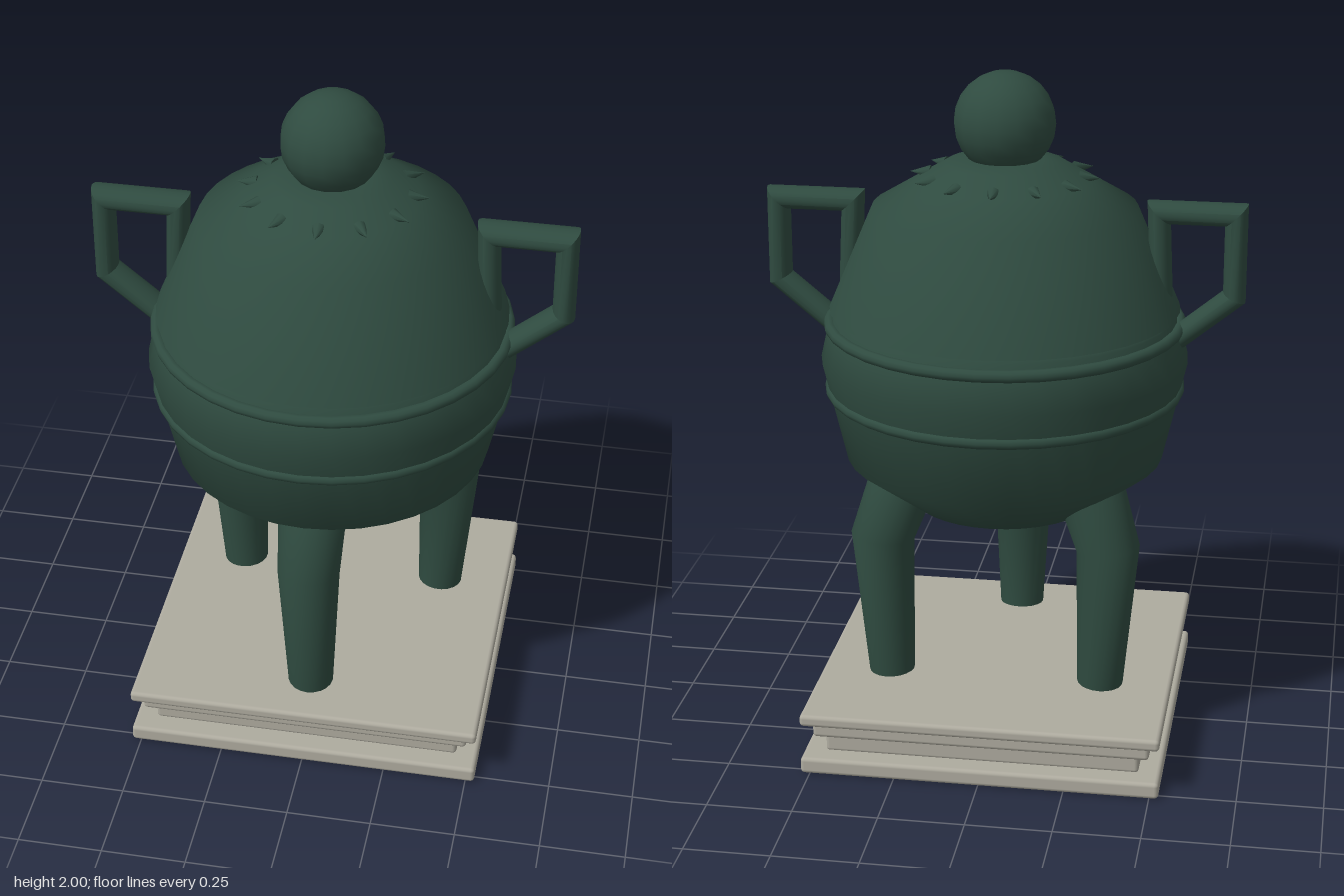
import * as THREE from 'three';
import { toCreasedNormals } from 'three/addons/utils/BufferGeometryUtils.js';
import { RoundedBoxGeometry } from 'three/addons/geometries/RoundedBoxGeometry.js';

const jade = new THREE.MeshStandardMaterial({ color: 0x2f4b40 });
jade.name = 'dark green jade';
const stone = new THREE.MeshStandardMaterial({ color: 0xaeab9f });
stone.name = 'pale stone';

function part(parent, name, geometry, material, x = 0, y = 0, z = 0) {
  const mesh = new THREE.Mesh(geometry, material);
  mesh.name = name;
  mesh.position.set(x, y, z);
  parent.add(mesh);
  return mesh;
}

const lathe = (profile, segments = 36) =>
  new THREE.LatheGeometry(profile.map(([r, y]) => new THREE.Vector2(r, y)), segments);

// Mitred bar along a path in the xy plane; each point is [x, y, in-plane radius, z radius]
function sweep(path, sides = 16) {
  const pos = [], index = [];
  const dir = (a, b) => new THREE.Vector2(b[0] - a[0], b[1] - a[1]).normalize();
  path.forEach((p, k) => {
    const before = k > 0 ? dir(path[k - 1], p) : dir(p, path[1]);
    const after = k < path.length - 1 ? dir(p, path[k + 1]) : before;
    const t = before.clone().add(after).normalize();
    const mitre = 1 / t.dot(before);
    for (let i = 0; i < sides; i++) {
      const a = (i / sides) * Math.PI * 2;
      const d = Math.cos(a) * p[2] * mitre;
      pos.push(p[0] + t.y * d, p[1] - t.x * d, Math.sin(a) * p[3]);
    }
  });
  const last = (path.length - 1) * sides;
  for (let i = 0; i < sides; i++) {
    const j = (i + 1) % sides;
    for (let k = 0; k < last; k += sides) {
      index.push(k + i, k + sides + i, k + j, k + j, k + sides + i, k + sides + j);
    }
    // End caps as fans
    if (i > 0 && i < sides - 1) {
      index.push(0, i, j, last, last + j, last + i);
    }
  }
  const geo = new THREE.BufferGeometry();
  geo.setAttribute('position', new THREE.Float32BufferAttribute(pos, 3));
  geo.setIndex(index);
  return toCreasedNormals(geo, 0.6);
}

export function createModel() {
  const model = new THREE.Group();
  model.name = 'tripodCenser';

  // Stepped square plinth: [half width, bottom, top]
  const plinth = new THREE.Group();
  plinth.name = 'plinth';
  model.add(plinth);
  [[0.527, 0, 0.05], [0.463, 0.045, 0.107], [0.495, 0.105, 0.15], [0.527, 0.152, 0.188]]
    .forEach(([half, low, high], i) => {
      part(plinth, 'plinthStep' + (i + 1),
        new RoundedBoxGeometry(half * 2, high - low, half * 2, 2, 0.012),
        stone, 0, (low + high) / 2, 0);
    });

  // Bowl with a dimpled underside
  part(model, 'bowl', lathe([
    [0, 0.73], [0.07, 0.725], [0.105, 0.69], [0.14, 0.676], [0.28, 0.71], [0.47, 0.852],
    [0.54, 1.153], [0.518, 1.25], [0.5, 1.29], [0.49, 1.312], [0, 1.315],
  ]), jade);

  // Raised bands around the bowl
  for (const y of [1.065, 1.26]) {
    const ring = new THREE.TorusGeometry(0.513, 0.018, 10, 36);
    ring.rotateX(Math.PI / 2);
    part(model, 'band', ring, jade, 0, y, 0);
  }

  // Domed lid and ball knob
  part(model, 'lid', lathe([
    [0.513, 1.305], [0.386, 1.605], [0.25, 1.687], [0.17, 1.735], [0.11, 1.748], [0, 1.75],
  ]), jade);
  part(model, 'knob', new THREE.SphereGeometry(0.148, 16, 12), jade, 0, 1.852, 0);

  // Ring of small studs pointing outward
  const stud = new THREE.ConeGeometry(0.02, 0.06, 8);
  stud.rotateZ(-Math.PI / 2);
  stud.translate(0.247, 1.697, 0);
  for (let i = 0; i < 12; i++) {
    part(model, 'lidStud', stud, jade).rotation.y = (i * Math.PI) / 6;
  }

  // Angular side handles
  const handle = sweep([
    [0.46, 1.32, 0.033, 0.05], [0.447, 1.605, 0.033, 0.05], [0.669, 1.605, 0.033, 0.05],
    [0.669, 1.362, 0.033, 0.05], [0.49, 1.215, 0.033, 0.05],
  ]);
  part(model, 'leftHandle', handle, jade);
  part(model, 'rightHandle', handle, jade).rotation.y = Math.PI;

  // Three tapered, bent legs, one at the front
  const leg = sweep([
    [0.365, 0.198, 0.068, 0.068], [0.388, 0.635, 0.092, 0.092], [0.328, 0.785, 0.1, 0.1],
  ], 20);
  for (let i = 0; i < 3; i++) {
    part(model, 'leg', leg, jade).rotation.y = -Math.PI / 2 + (i * Math.PI * 2) / 3;
  }

  return model;
}
